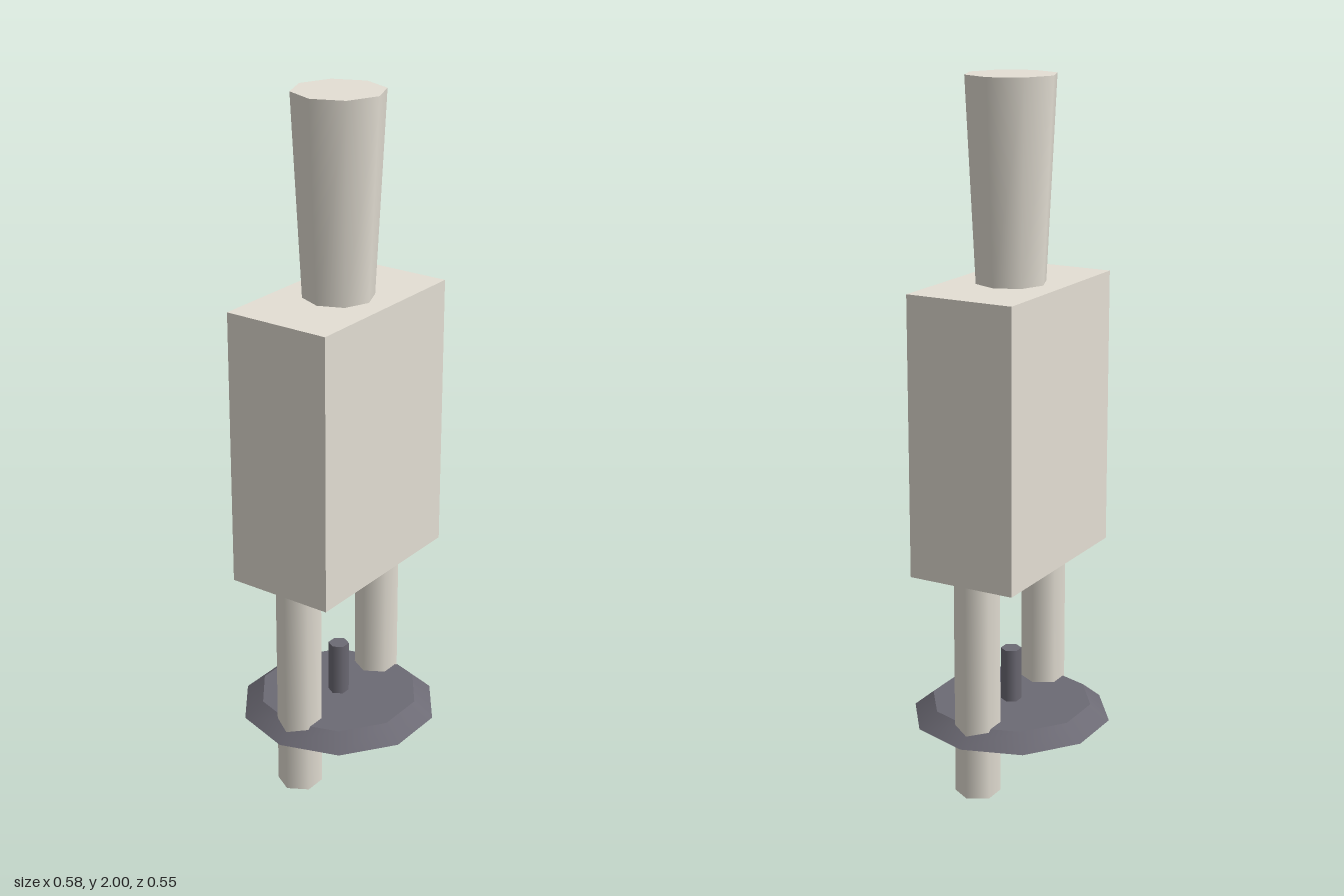
import * as THREE from 'three';

const cream = new THREE.MeshStandardMaterial({ color: 0xe4dfd4 });
const slate = new THREE.MeshStandardMaterial({ color: 0x6c6a74 });

// Faceted column between two heights, with a corner on the +x axis.
function column(name, rTop, rBottom, y0, y1, sides, material, x = 0) {
  const geometry = new THREE.CylinderGeometry(rTop, rBottom, y1 - y0, sides);
  geometry.rotateY(Math.PI / 2);
  const mesh = new THREE.Mesh(geometry, material);
  mesh.name = name;
  mesh.position.set(x, (y0 + y1) / 2, 0);
  return mesh;
}

export function createModel() {
  const model = new THREE.Group();
  model.name = 'model';

  // Block body
  const body = new THREE.Mesh(new THREE.BoxGeometry(0.56, 0.795, 0.32), cream);
  body.name = 'body';
  body.position.y = 1.0425;
  model.add(body);

  // Neck, flaring towards the top
  model.add(column('neck', 0.128, 0.1, 1.44, 2, 8, cream));

  // Two hexagonal legs
  for (const side of [1, -1]) {
    model.add(column(side > 0 ? 'leftLeg' : 'rightLeg', 0.064, 0.064, 0, 0.645, 6, cream, side * 0.192));
  }

  // Bevelled disc around the legs, with a short post at its centre
  model.add(column('disc', 0.233, 0.288, 0.165, 0.21, 10, slate));
  model.add(column('post', 0.03, 0.03, 0.21, 0.367, 6, slate));

  return model;
}
